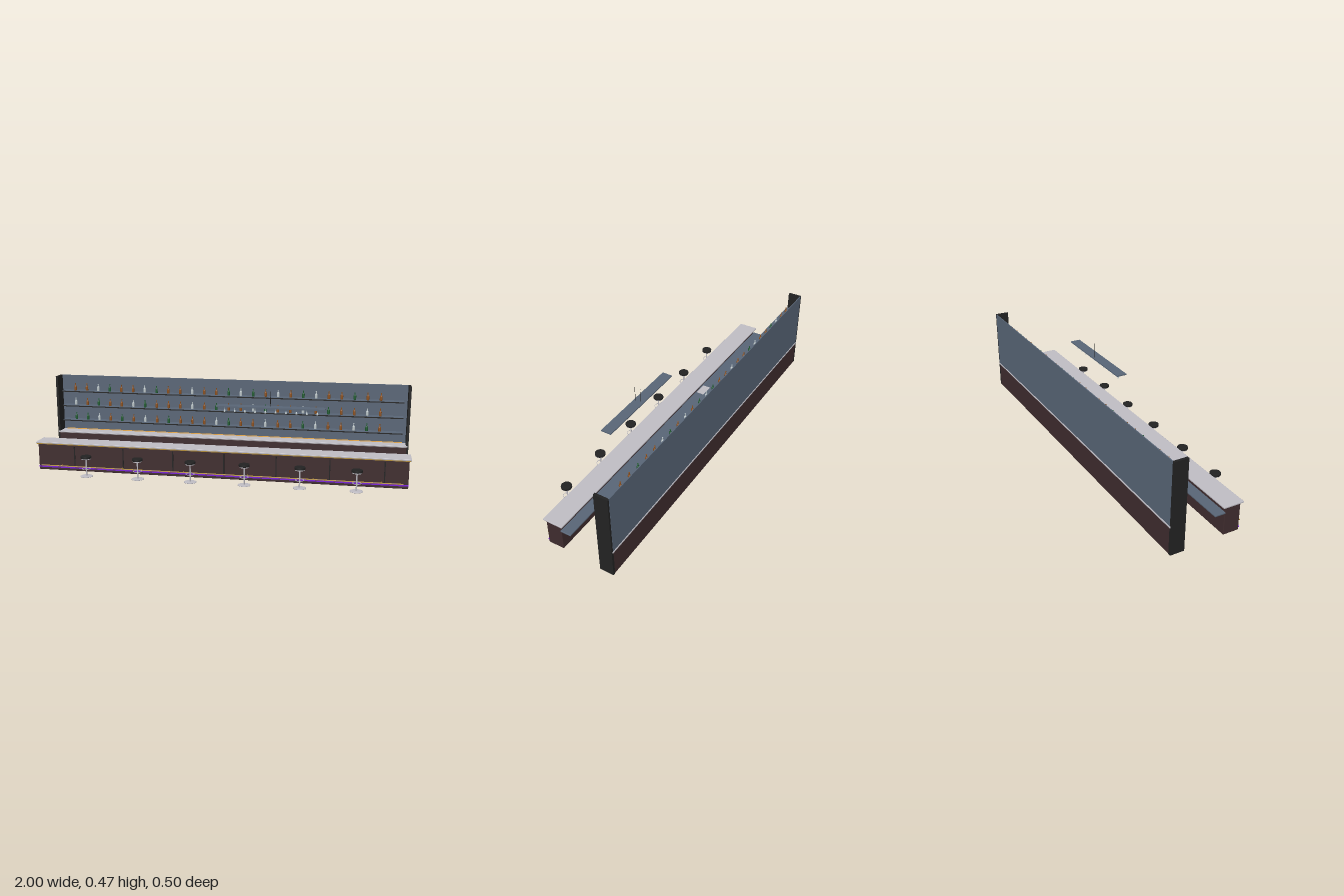
import * as THREE from 'three';
import { RoundedBoxGeometry } from 'three/addons/geometries/RoundedBoxGeometry.js';

export function createModel() {
  const root = new THREE.Group();
  root.name = 'bar';
  const mat = (name, color) => {
    const m = new THREE.MeshStandardMaterial({ color });
    m.name = name;
    return m;
  };
  const wood = mat('dark wood', 0x3f2c2e);
  const black = mat('black', 0x222222);
  const stone = mat('pale stone and steel', 0xbebcc3);
  const slate = mat('slate glass', 0x586576);
  const brass = mat('brass', 0xb08a35);
  const violet = mat('violet light', 0x7a22d8);
  const warm = mat('warm light', 0xe6a84c);
  const amber = mat('amber glass', 0x8a4f1c);
  const green = mat('green glass', 0x1f5a30);
  const clear = mat('clear glass', 0xb9c3c6);

  const add = (parent, name, geo, material, x = 0, y = 0, z = 0) => {
    const m = new THREE.Mesh(geo, material);
    m.name = name;
    m.position.set(x, y, z);
    parent.add(m);
    return m;
  };
  // box from min/max limits, optionally with rounded edges
  const box = (parent, name, material, x0, x1, y0, y1, z0, z1, r = 0) => {
    const s = [x1 - x0, y1 - y0, z1 - z0];
    const geo = r ? new RoundedBoxGeometry(...s, 2, r) : new THREE.BoxGeometry(...s);
    return add(parent, name, geo, material, (x0 + x1) / 2, (y0 + y1) / 2, (z0 + z1) / 2);
  };
  const lathe = (pts, seg) => new THREE.LatheGeometry(pts.map(p => new THREE.Vector2(...p)), seg);
  const group = (name) => {
    const g = new THREE.Group();
    g.name = name;
    root.add(g);
    return g;
  };

  // front counter
  const counter = group('frontCounter');
  box(counter, 'counterBody', wood, -0.99, 0.99, 0, 0.145, 0.045, 0.13, 0.003);
  box(counter, 'counterTop', stone, -1, 1, 0.149, 0.157, 0.032, 0.141, 0.002);
  box(counter, 'topSupport', wood, -0.98, 0.98, 0.144, 0.15, 0.05, 0.125);
  box(counter, 'brassEdge', brass, -0.995, 0.995, 0.146, 0.15, 0.139, 0.142);
  box(counter, 'violetStrip', violet, -0.99, 0.99, 0.014, 0.021, 0.129, 0.133);
  for (let i = 0; i < 7; i++) {
    const x = -0.782 + i * 0.2755;
    box(counter, 'panelDivider', black, x - 0.003, x + 0.003, 0.021, 0.136, 0.129, 0.132);
  }

  // work shelf behind the counter, with sink
  box(counter, 'workShelf', slate, -0.995, 0.995, 0.117, 0.125, -0.011, 0.046, 0.002);
  box(counter, 'sink', stone, -0.321, -0.246, 0.12, 0.128, -0.008, 0.036);

  // foot rail on brackets
  const rail = add(counter, 'footRail', new THREE.CylinderGeometry(0.003, 0.003, 1.93, 12), brass, 0, 0.031, 0.154);
  rail.rotation.z = Math.PI / 2;
  for (let i = 0; i < 6; i++) {
    const b = add(counter, 'railBracket', new THREE.CylinderGeometry(0.002, 0.002, 0.026, 8), brass, -0.855 + i * 0.342, 0.031, 0.142);
    b.rotation.x = Math.PI / 2;
  }

  // stools
  const seatGeo = lathe([[0, 0.1], [0.027, 0.1], [0.028, 0.102], [0.028, 0.11], [0.027, 0.112], [0, 0.112]], 28);
  const baseGeo = lathe([[0, 0], [0.033, 0], [0.033, 0.002], [0.028, 0.004], [0, 0.004]], 28);
  for (let i = 0; i < 6; i++) {
    const stool = group('stool');
    stool.position.set(-0.684 + i * 0.2835, 0, 0.216);
    add(stool, 'seat', seatGeo, black);
    add(stool, 'seatPlate', new THREE.CylinderGeometry(0.025, 0.025, 0.005, 28), stone, 0, 0.098, 0);
    add(stool, 'post', new THREE.CylinderGeometry(0.0037, 0.0037, 0.095, 12), stone, 0, 0.05, 0);
    add(stool, 'base', baseGeo, stone);
    const ring = add(stool, 'footRing', new THREE.TorusGeometry(0.022, 0.0016, 8, 28), stone, 0, 0.043, 0);
    ring.rotation.x = Math.PI / 2;
  }

  // back bar
  const back = group('backBar');
  box(back, 'cabinet', wood, -0.99, 0.99, 0, 0.141, -0.245, -0.169, 0.003);
  box(back, 'cabinetTop', stone, -0.995, 0.995, 0.141, 0.149, -0.249, -0.165, 0.002);
  box(back, 'backWall', slate, -0.99, 0.99, 0.149, 0.47, -0.246, -0.241);
  box(back, 'warmStrip', warm, -0.97, 0.97, 0.149, 0.153, -0.241, -0.235);
  for (const s of [-1, 1]) {
    add(back, 'sidePanel', new THREE.BoxGeometry(0.013, 0.47, 0.074), black, s * 0.9935, 0.235, -0.208);
  }

  // shelves of bottles
  const bottleGeo = lathe([[0, 0], [0.0068, 0], [0.0072, 0.001], [0.0072, 0.021], [0.0055, 0.025],
    [0.0027, 0.028], [0.0025, 0.037], [0.0032, 0.038], [0.0032, 0.04], [0, 0.04]], 12);
  const kinds = { a: amber, g: green, c: clear };
  const rows = ['ggcagacagaaacgaacaagcaacga', 'cagaacgaaacagaacgaacagaaca', 'aacgaacgaacaagcgacagcaagaa'];
  rows.forEach((row, r) => {
    const y = 0.217 + r * 0.0855;
    box(back, 'shelf', slate, -0.966, 0.966, y - 0.007, y, -0.222, -0.174);
    box(back, 'shelfEdge', black, -0.966, 0.966, y - 0.007, y - 0.001, -0.174, -0.1735);
    for (const [i, k] of [...row].entries()) {
      add(back, 'bottle', bottleGeo, kinds[k], -0.893 + i * 0.0695, y, -0.2);
    }
  });

  // hanging glass rack
  const rack = group('glassRack');
  box(rack, 'rackBoard', slate, 0, 0.561, 0.381, 0.387, 0.052, 0.109);
  for (const z of [0.064, 0.098]) {
    add(rack, 'hangingRod', new THREE.CylinderGeometry(0.001, 0.001, 0.084, 8), black, 0.28, 0.428, z);
  }
  // upside-down stemware
  const glassGeo = lathe([[0.005, 0.353], [0.005, 0.358], [0.003, 0.364], [0.0008, 0.366], [0.0008, 0.379],
    [0.005, 0.38], [0.005, 0.381]], 12);
  const glassMat = clear;
  glassMat.side = THREE.DoubleSide;
  for (let i = 0; i < 10; i++) add(rack, 'hangingGlass', glassGeo, glassMat, 0.04 + i * 0.0535, 0, 0.081);

  return root;
}
